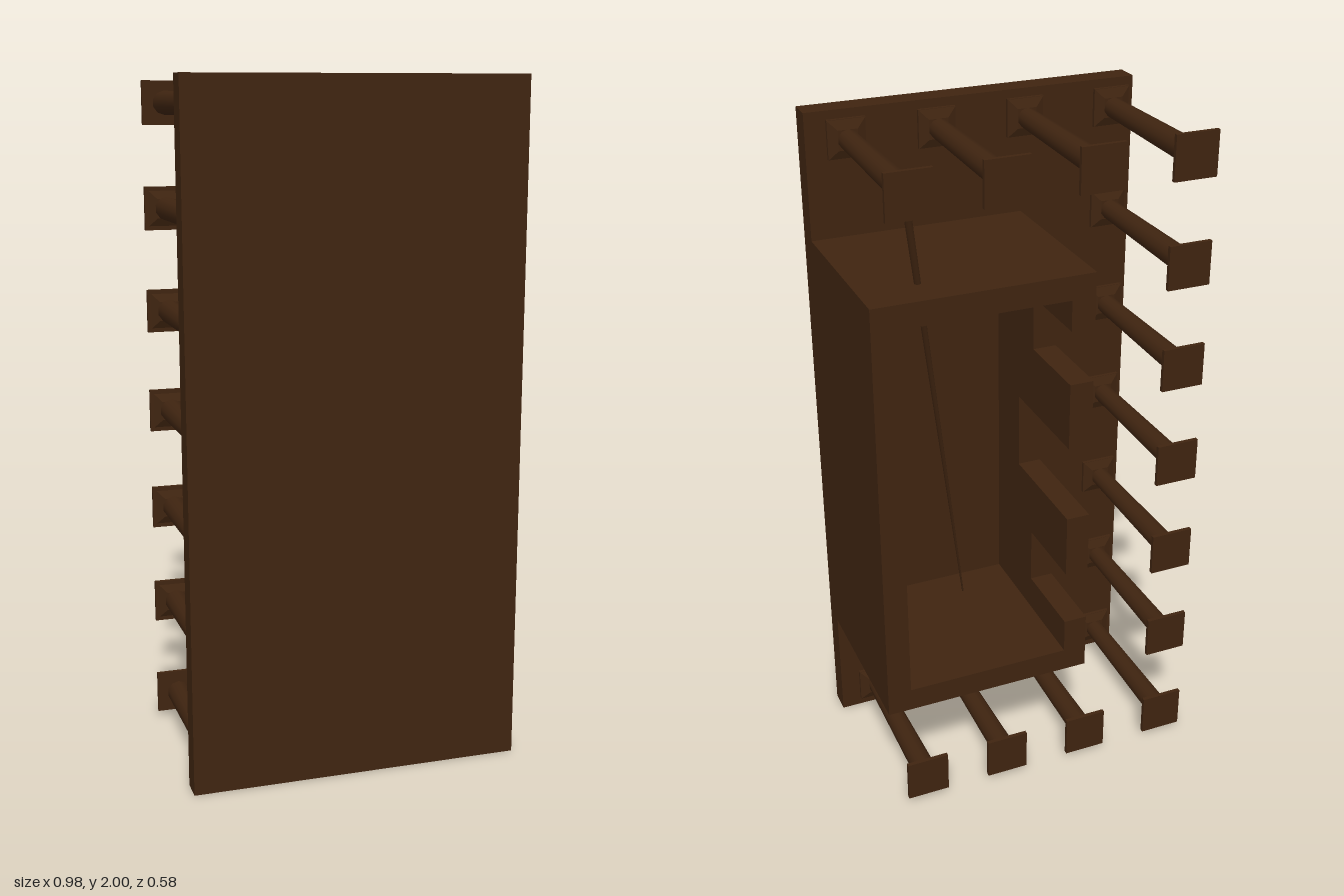
import * as THREE from 'three';

export function createModel() {
  const group = new THREE.Group();
  const wood = new THREE.MeshStandardMaterial({ color: 0x3f2410 });
  wood.name = 'dark brown wood';

  function add(name, geometry, parent = group) {
    const mesh = new THREE.Mesh(geometry, wood);
    mesh.name = name;
    parent.add(mesh);
    return mesh;
  }
  // box given by its min and max corners
  function block(name, [x0, y0, z0], [x1, y1, z1], parent) {
    const g = new THREE.BoxGeometry(x1 - x0, y1 - y0, z1 - z0);
    g.translate((x0 + x1) / 2, (y0 + y1) / 2, (z0 + z1) / 2);
    return add(name, g, parent);
  }
  // tapered round piece along z, r0 at z0 and r1 at z1
  function taper(name, r0, r1, z0, z1, sides, turn, parent) {
    const g = new THREE.CylinderGeometry(r1, r0, z1 - z0, sides);
    g.rotateY(turn).rotateX(Math.PI / 2).translate(0, 0, (z0 + z1) / 2);
    return add(name, sides < 9 ? g.toNonIndexed() : g, parent);
  }

  // front slab
  block('frontPanel', [-0.49, 0, 0.22], [0.49, 2, 0.29]);

  // open-backed case behind the slab
  const T = 0.07, L = -0.14, R = 0.49, B = 0.355, U = 1.64, Z0 = -0.288, Z1 = 0.22;
  const box = new THREE.Group();
  box.name = 'case';
  group.add(box);
  block('caseTop', [L, U - T, Z0], [R, U, Z1], box);
  block('caseBottom', [L, B, Z0], [R, B + T, Z1], box);
  block('caseSolidSide', [R - T, B + T, Z0], [R, U - T, Z1], box);

  // notched side: outline in (z, y), with three slots cut from the back edge
  const side = new THREE.Shape();
  side.moveTo(Z1, B + T);
  side.lineTo(Z1, U - T);
  side.lineTo(Z0, U - T);
  for (const [top, bottom, depth] of [[1.48, 1.32, 0.25], [1.12, 0.89, 0.35], [0.7, 0.53, 0.25]]) {
    side.lineTo(Z0, top);
    side.lineTo(Z0 + depth, top);
    side.lineTo(Z0 + depth, bottom);
    side.lineTo(Z0, bottom);
  }
  side.lineTo(Z0, B + T);
  const sideGeometry = new THREE.ExtrudeGeometry(side, { depth: T, bevelEnabled: false });
  sideGeometry.rotateY(-Math.PI / 2).translate(L + T, 0, 0);
  add('caseNotchedSide', sideGeometry, box);

  // pegs with a square foot and a square end plate
  function peg(x, y, flared) {
    const p = new THREE.Group();
    p.name = 'peg';
    p.position.set(x, y, 0);
    group.add(p);
    block('pegFoot', [-0.055, -0.055, 0.21], [0.055, 0.055, 0.222], p);
    taper('pegFootBevel', 0.04, 0.076, 0.198, 0.21, 4, Math.PI / 4, p);
    taper('pegShaft', 0.035, 0.029, -0.266, 0.2, 10, 0, p);
    if (flared) taper('pegEndBevel', 0.076, 0.04, -0.278, -0.264, 4, Math.PI / 4, p);
    block('pegEndPlate', [-0.064, -0.064, -0.289], [0.064, 0.064, -0.277], p);
  }
  for (const x of [-0.42, -0.15, 0.115, 0.375]) {
    peg(x, 0.08, false);
    peg(x, 1.92, false);
  }
  for (let i = 1; i < 6; i++) peg(-0.42, 0.08 + i * 1.84 / 6, true);

  // long thin rod, narrowing toward the bottom, passing through the case
  const from = new THREE.Vector3(0.04, 0.12, 0.2);
  const to = new THREE.Vector3(0.372, 1.91, -0.243);
  const rod = add('rod', new THREE.CylinderGeometry(0.011, 0.001, from.distanceTo(to), 8));
  rod.position.copy(from).lerp(to, 0.5);
  rod.quaternion.setFromUnitVectors(new THREE.Vector3(0, 1, 0), to.clone().sub(from).normalize());

  // faceted look for the four-sided bevels
  group.traverse((o) => {
    if (o.isMesh && o.name.endsWith('Bevel')) o.geometry.computeVertexNormals();
  });
  return group;
}
